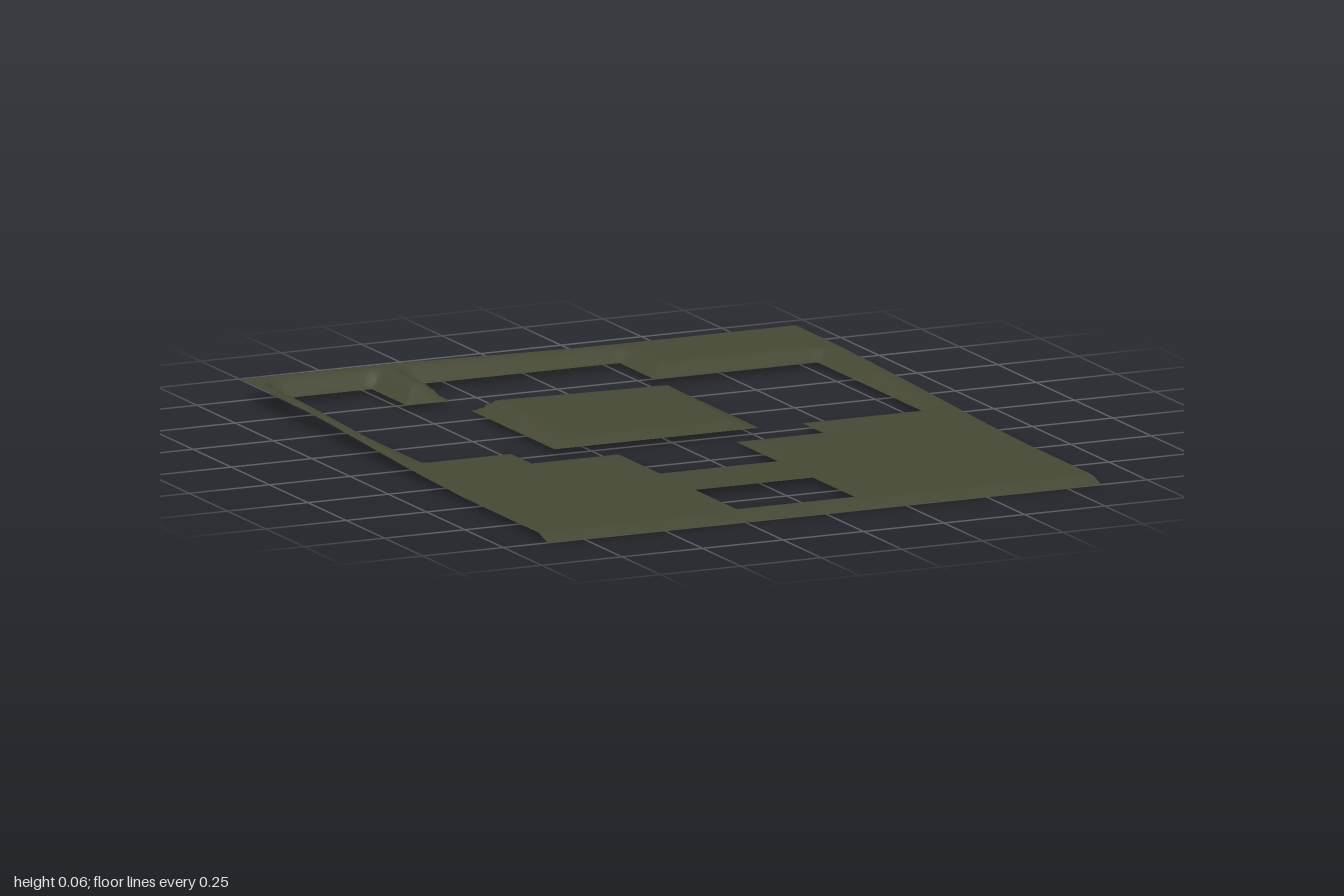
import * as THREE from 'three';

// Cut lines of the floor plan; '#' is ground, 'o' the island, '.' a hole
const xs = [-0.86, -0.775, -0.5, -0.365, -0.23, 0.135, 0.27, 0.405, 0.775, 0.86];
const zs = [-1, -0.91, -0.685, -0.545, 0, 0.135, 0.405, 0.635, 0.905, 1];
const plan = [
  '#########',
  '#.#...###',
  '#.......#',
  '#..ooo..#',
  '##.....##',
  '####.####',
  '#########',
  '####.####',
  '#########',
];
const { smoothstep, lerp } = THREE.MathUtils;

const holes = [];
plan.forEach((row, j) => [...row].forEach((c, i) => {
  if (c === '.') holes.push([xs[i], xs[i + 1], zs[j], zs[j + 1]]);
}));

function holeDistance(x, z) {
  let best = Infinity;
  for (const [x0, x1, z0, z1] of holes) {
    best = Math.min(best, Math.hypot(Math.max(x0 - x, 0, x - x1), Math.max(z0 - z, 0, z - z1)));
  }
  return best;
}

// Ground climbs gently to the back, sinking to a level rim around each hole
function height(x, z) {
  const tilt = 0.006 * (1 - 2 * smoothstep(x, -0.5, 0.3)) * smoothstep(-z, -0.2, 0.8);
  const hill = 0.016 + 0.039 * smoothstep(-z, -0.6, 0.9) + tilt;
  const inner = lerp(0.016, hill, smoothstep(holeDistance(x, z), 0, 0.055));
  return inner * (1 - smoothstep(z, 0.93, 1));
}

// Adds evenly spaced lines between the cuts, remembering each line's cell
function subdivide(cuts, step) {
  const lines = [cuts[0]], cells = [];
  for (let k = 0; k + 1 < cuts.length; k++) {
    const n = Math.ceil((cuts[k + 1] - cuts[k]) / step);
    for (let s = 1; s <= n; s++) {
      lines.push(lerp(cuts[k], cuts[k + 1], s / n));
      cells.push(k);
    }
  }
  return { lines, cells };
}

function sheet(mark, material, name) {
  const gx = subdivide(xs, 0.018), gz = subdivide(zs, 0.018);
  const positions = [], indices = [], ids = new Map();
  const vertex = (i, j) => {
    const key = i + ',' + j;
    if (!ids.has(key)) {
      const x = gx.lines[i], z = gz.lines[j];
      ids.set(key, positions.length / 3);
      positions.push(x, height(x, z), z);
    }
    return ids.get(key);
  };
  gz.cells.forEach((row, j) => gx.cells.forEach((col, i) => {
    if (plan[row][col] !== mark) return;
    const a = vertex(i, j), b = vertex(i + 1, j), c = vertex(i, j + 1), d = vertex(i + 1, j + 1);
    indices.push(a, c, b, b, c, d);
  }));
  const geometry = new THREE.BufferGeometry();
  geometry.setAttribute('position', new THREE.Float32BufferAttribute(positions, 3));
  geometry.setIndex(indices);
  geometry.computeVertexNormals();
  const mesh = new THREE.Mesh(geometry, material);
  mesh.name = name;
  return mesh;
}

export function createModel() {
  const group = new THREE.Group();
  group.name = 'terrain';
  const moss = new THREE.MeshStandardMaterial({ color: 0x464835 });
  moss.name = 'mossGreen';
  moss.side = THREE.DoubleSide;
  group.add(sheet('#', moss, 'groundFrame'), sheet('o', moss, 'centreIsland'));
  return group;
}
